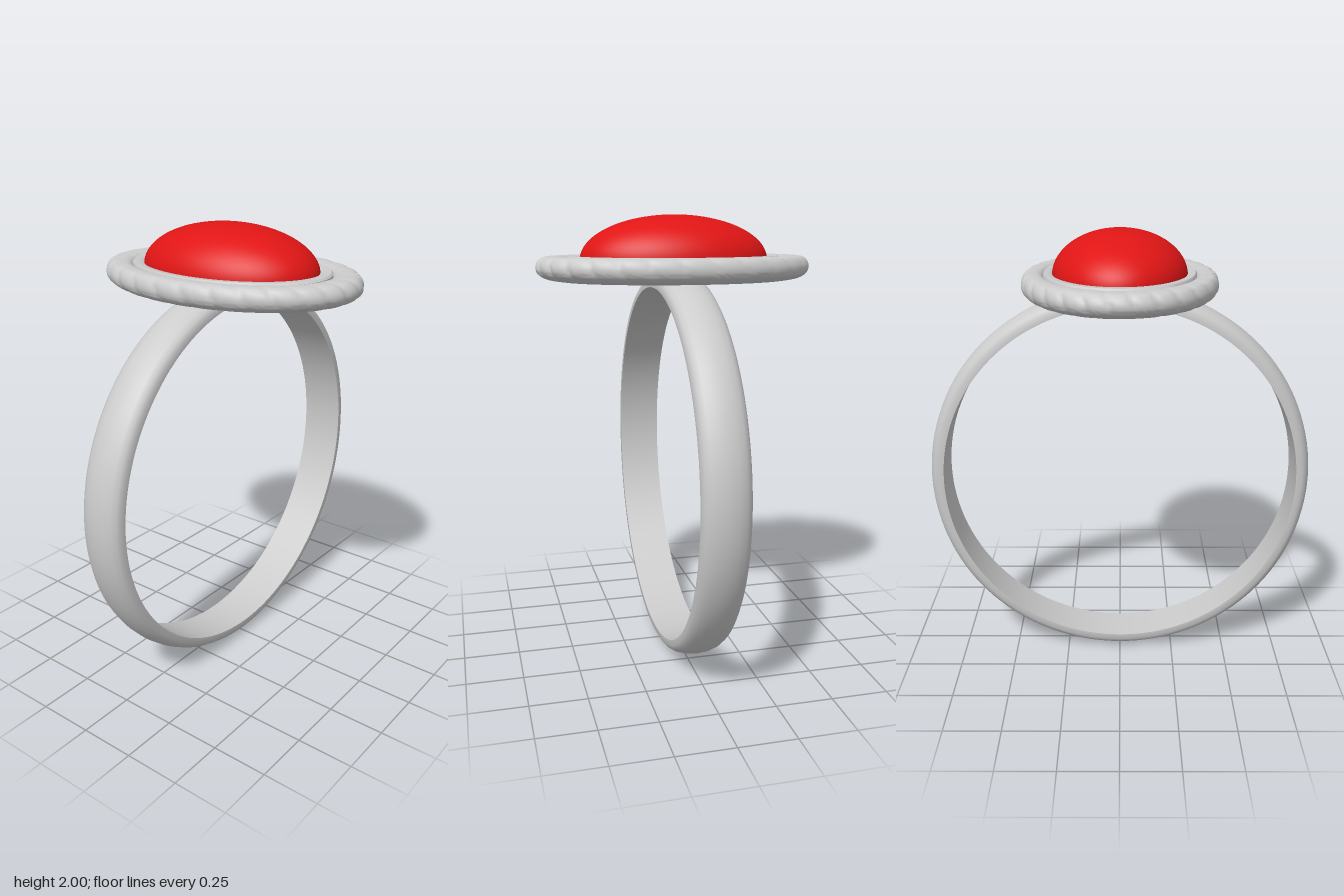
import * as THREE from 'three';
import { mergeVertices, toCreasedNormals } from 'three/addons/utils/BufferGeometryUtils.js';

const metal = new THREE.MeshStandardMaterial({ color: 0xcccccc });
const red = new THREE.MeshStandardMaterial({ color: 0xe01515 });
const OVAL = 1.44; // length of the oval setting relative to its width

const points = (list) => list.map(([r, y]) => new THREE.Vector2(r, y));

function addPart(group, name, geometry, material) {
  const mesh = new THREE.Mesh(geometry, material);
  mesh.name = name;
  group.add(mesh);
  return mesh;
}

// Smooth normals across the lathe seam, with sharp profile corners kept.
function finish(geometry, crease) {
  geometry.deleteAttribute('uv');
  geometry.deleteAttribute('normal');
  return toCreasedNormals(mergeVertices(geometry, 1e-4), crease);
}

// Band: flat inside, softly domed outside, turned about the z axis.
function bandGeometry() {
  const half = [[0.83, 0.1], [0.847, 0.09], [0.861, 0.07], [0.871, 0.038]];
  const profile = [
    [0.805, -0.1], ...half.map(([r, z]) => [r, -z]), [0.875, 0],
    ...half.slice().reverse(), [0.805, 0.1], [0.805, -0.1],
  ];
  return finish(new THREE.LatheGeometry(points(profile), 128), 0.7).rotateX(Math.PI / 2);
}

// Plate with a rounded rim carved by slanted grooves.
function plateGeometry() {
  const rim = new THREE.SplineCurve(points([
    [0.35, 1.716], [0.392, 1.726], [0.42, 1.75], [0.425, 1.785],
    [0.408, 1.817], [0.375, 1.824], [0.345, 1.819], [0.327, 1.8],
  ])).getPoints(28);
  const profile = [...points([[0, 1.715], [0.3, 1.715]]), ...rim, ...points([[0, 1.8]])];
  const geometry = new THREE.LatheGeometry(profile, 192);
  const p = geometry.attributes.position;
  for (let i = 0; i < p.count; i++) {
    const t = ((i % profile.length) - 2) / 28;
    if (t <= 0 || t >= 1) continue;
    const angle = Math.atan2(p.getX(i), p.getZ(i));
    const wave = Math.abs(Math.sin(14 * angle + 3.2 * t));
    const depth = 0.009 * Math.pow(1 - wave, 2) * Math.sin(Math.PI * t);
    const k = 1 - depth / 0.42;
    p.setXYZ(i, p.getX(i) * k, p.getY(i) - depth * (t - 0.35), p.getZ(i) * k);
  }
  return finish(geometry.scale(1, 1, OVAL), 0.9);
}

// Thin collar that holds the stone.
function bezelGeometry() {
  const profile = [[0.332, 1.78], [0.331, 1.815], [0.325, 1.823], [0.3, 1.823], [0.285, 1.812], [0.285, 1.78]];
  return finish(new THREE.LatheGeometry(points(profile), 96).scale(1, 1, OVAL), 0.7);
}

export function createModel() {
  const group = new THREE.Group();
  group.name = 'ring';

  addPart(group, 'band', bandGeometry(), metal).position.y = 0.88;
  addPart(group, 'settingPlate', plateGeometry(), metal);
  addPart(group, 'bezel', bezelGeometry(), metal);

  // Domed oval stone
  const dome = new THREE.SphereGeometry(1, 64, 24, 0, Math.PI * 2, 0, Math.PI / 2);
  const stone = addPart(group, 'stone', dome, red);
  stone.scale.set(0.293, 0.195, 0.42);
  stone.position.y = 1.805;

  return group;
}
